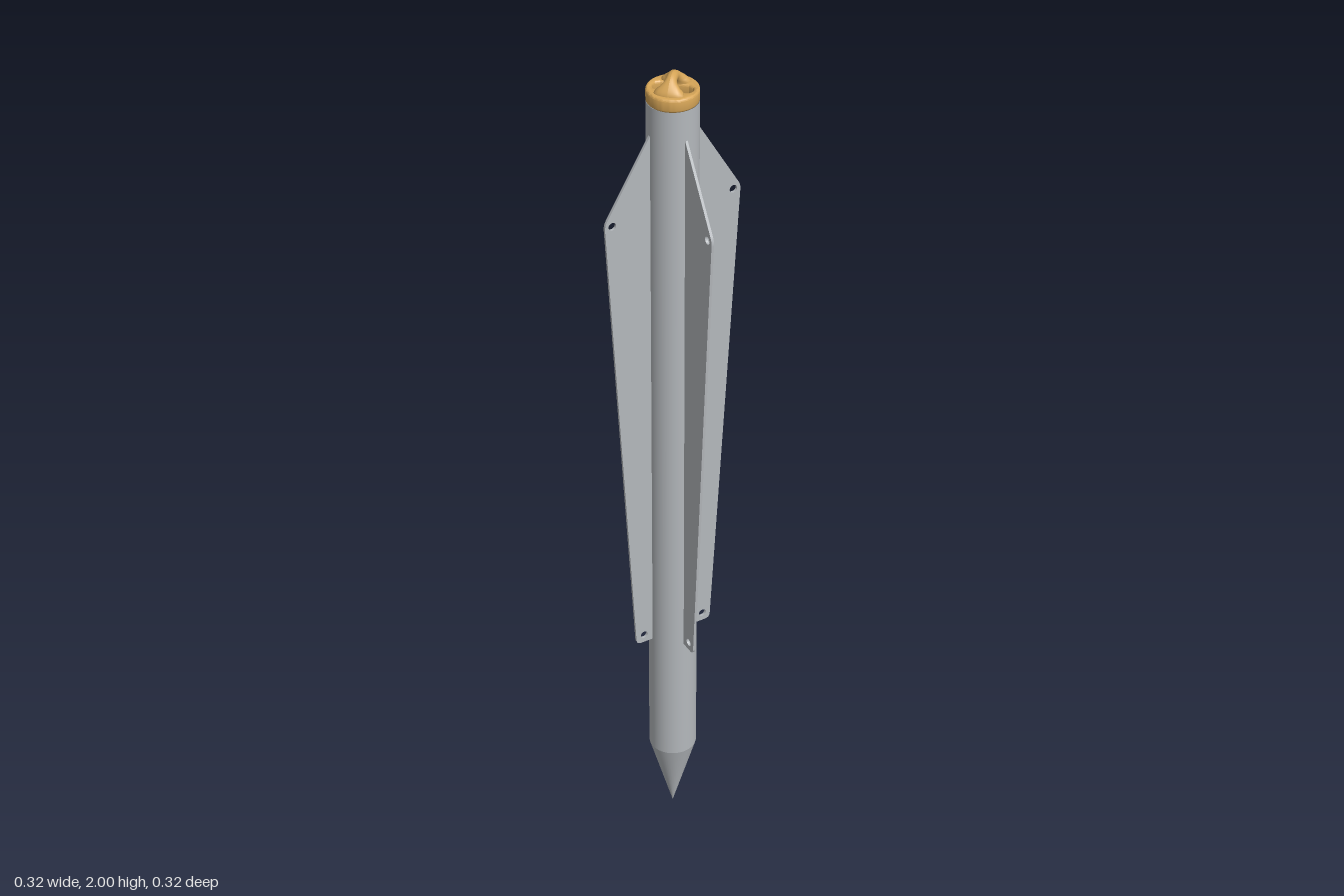
import * as THREE from 'three';
import { toCreasedNormals, mergeGeometries } from 'three/addons/utils/BufferGeometryUtils.js';

const R = 0.055; // body radius

function circleHole(x, y, r) {
  const hole = new THREE.Path();
  hole.absarc(x, y, r, 0, Math.PI * 2, true);
  return hole;
}

// Tapered fin plate with rounded corners and two rivet holes
function finGeometry() {
  const s = new THREE.Shape();
  s.moveTo(0.045, 0.535);
  s.lineTo(0.084, 0.535);
  s.quadraticCurveTo(0.096, 0.535, 0.097, 0.548);
  s.lineTo(0.161, 1.675);
  s.quadraticCurveTo(0.162, 1.687, 0.156, 1.697);
  s.lineTo(0.054, 1.87);
  s.lineTo(0.045, 1.87);
  s.closePath();
  s.holes.push(circleHole(0.144, 1.682, 0.009), circleHole(0.077, 0.556, 0.009));
  const t = 0.006;
  return new THREE.ExtrudeGeometry(s, { depth: t, bevelEnabled: false, curveSegments: 10 })
    .translate(0, 0, -t / 2);
}

// Round flange pierced by a long slot, with chamfered rims
function flangeGeometry() {
  const s = new THREE.Shape();
  s.absarc(0, 0, 0.05, 0, Math.PI * 2);
  const slot = new THREE.Path(), w = 0.02, e = 0.028;
  slot.moveTo(w, -e);
  slot.absarc(0, -e, w, 0, -Math.PI, true);
  slot.lineTo(-w, e);
  slot.absarc(0, e, w, Math.PI, 0, true);
  slot.closePath();
  s.holes.push(slot);
  const g = new THREE.ExtrudeGeometry(s, {
    depth: 0.02, bevelThickness: 0.005, bevelSize: 0.005, bevelSegments: 3, curveSegments: 32,
  });
  g.rotateX(-Math.PI / 2).translate(0, 1.941, 0);
  return toCreasedNormals(g, 0.7);
}

// Half ring whose feet flare out into the flange
function loopGeometry() {
  const ring = 0.026, tube = 0.011;
  const g = new THREE.TorusGeometry(ring, tube, 16, 36, Math.PI);
  const p = g.attributes.position;
  for (let i = 0; i < p.count; i++) {
    const x = p.getX(i), y = p.getY(i);
    const foot = Math.abs(x) / Math.hypot(x, y);
    p.setZ(i, p.getZ(i) * (1 + 1.9 * foot ** 4));
    if (Math.hypot(x, y) > ring) p.setX(i, x * (1 + 0.2 * foot ** 6));
  }
  g.computeVertexNormals();
  return g.translate(0, 1.963, 0);
}

// Curved pocket running beneath the loop
function pocketGeometry() {
  const r = 0.046, w = 0.034;
  const floor = new THREE.CylinderGeometry(r, r, w, 24, 1, true, Math.PI, Math.PI).rotateZ(Math.PI / 2);
  const sides = [-1, 1].map((k) =>
    new THREE.CircleGeometry(r, 24, Math.PI, Math.PI).rotateY(Math.PI / 2).translate(k * w / 2, 0, 0));
  return mergeGeometries([floor, ...sides]).translate(0, 1.952, 0);
}

export function createModel() {
  const steel = new THREE.MeshStandardMaterial({ color: 0xb4b8bc });
  steel.name = 'steel';
  steel.side = THREE.DoubleSide;
  const brass = new THREE.MeshStandardMaterial({ color: 0xd6a557 });
  brass.name = 'brass';

  const model = new THREE.Group();
  model.name = 'finnedSpike';
  const add = (parent, name, geometry, material) => {
    const mesh = new THREE.Mesh(geometry, material);
    mesh.name = name;
    parent.add(mesh);
    return mesh;
  };

  // Round body and pointed tip
  add(model, 'body', new THREE.CylinderGeometry(R, R, 1.738, 48, 1, true).translate(0, 1.069, 0), steel);
  add(model, 'tip', new THREE.CylinderGeometry(R, 0.0005, 0.2, 48, 1, true).translate(0, 0.1, 0), steel);

  // Four fins around the body
  const fin = finGeometry();
  for (let i = 0; i < 4; i++) {
    add(model, `fin${i + 1}`, fin, steel).rotation.y = i * Math.PI / 2;
  }

  // Lifting cap, turned midway between the fins
  const cap = new THREE.Group();
  cap.name = 'liftingCap';
  cap.rotation.y = Math.PI / 4;
  add(cap, 'flange', flangeGeometry(), brass);
  add(cap, 'loop', loopGeometry(), brass);
  add(cap, 'pocket', pocketGeometry(), steel);
  model.add(cap);

  return model;
}
